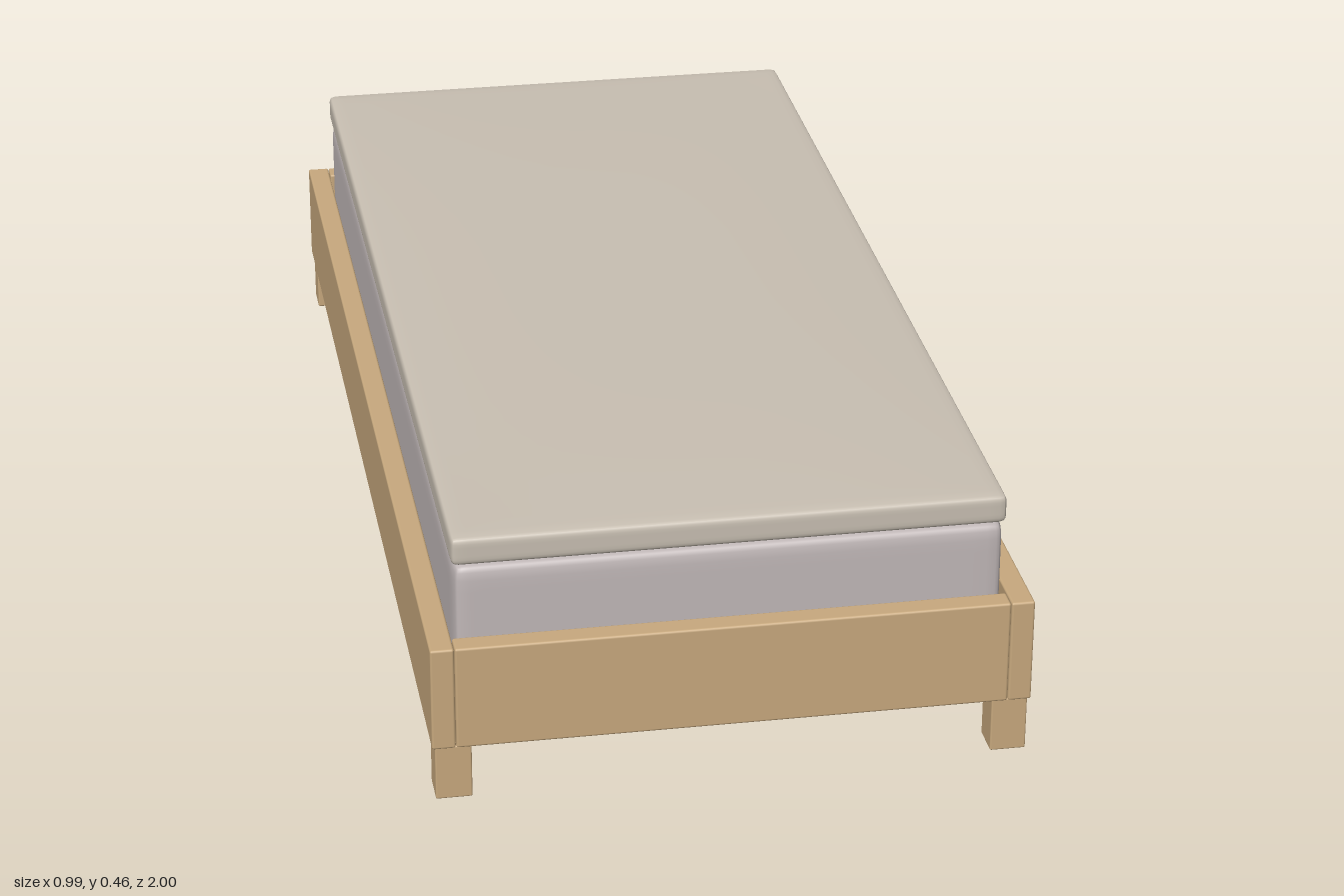
import * as THREE from 'three';
import { mergeVertices } from 'three/addons/utils/BufferGeometryUtils.js';
import { RoundedBoxGeometry } from 'three/addons/geometries/RoundedBoxGeometry.js';

const wood = new THREE.MeshStandardMaterial({ color: 0xc8a97e });
const mattressFabric = new THREE.MeshStandardMaterial({ color: 0xc1b8b8 });
const topperFabric = new THREE.MeshStandardMaterial({ color: 0xc8bfb2 });

// Box with rounded edges and an optional gentle dome on top
function cushionGeometry(w, h, d, radius, dome = 0) {
  let geo = new THREE.BoxGeometry(2, 2, 2, 24, 12, 24);
  geo.deleteAttribute('uv');
  geo.deleteAttribute('normal');
  geo = mergeVertices(geo);
  const half = new THREE.Vector3(w / 2, h / 2, d / 2);
  const inner = half.clone().subScalar(radius);
  const innerMin = inner.clone().negate();
  // Crowd the grid lines toward the edges
  const crowd = (t) => Math.sign(t) * (1 - (1 - Math.abs(t)) ** 2);
  const pos = geo.attributes.position;
  const p = new THREE.Vector3();
  const q = new THREE.Vector3();
  for (let i = 0; i < pos.count; i++) {
    p.fromBufferAttribute(pos, i);
    p.set(crowd(p.x), crowd(p.y), crowd(p.z)).multiply(half);
    q.copy(p).clamp(innerMin, inner);
    p.sub(q).setLength(radius).add(q);
    if (p.y > 0) {
      const u = Math.abs(p.x / half.x);
      const v = Math.abs(p.z / half.z);
      p.y += dome * (1 - u ** 3) * (1 - v ** 3) * (p.y / half.y);
    }
    pos.setXYZ(i, p.x, p.y, p.z);
  }
  geo.computeVertexNormals();
  return geo;
}

function add(group, name, geometry, material, x, y, z) {
  const mesh = new THREE.Mesh(geometry, material);
  mesh.name = name;
  mesh.position.set(x, y, z);
  group.add(mesh);
}

export function createModel() {
  const bed = new THREE.Group();
  bed.name = 'bed';

  // Wooden frame: long side rails, end rails between them
  const frame = new THREE.Group();
  frame.name = 'frame';
  bed.add(frame);
  const sideRail = new RoundedBoxGeometry(0.039, 0.182, 2, 2, 0.004);
  const endRail = new RoundedBoxGeometry(0.912, 0.182, 0.039, 2, 0.004);
  const leg = new RoundedBoxGeometry(0.06, 0.097, 0.06, 2, 0.003);
  for (const s of [-1, 1]) {
    const side = s > 0 ? 'left' : 'right';
    add(frame, side + 'SideRail', sideRail, wood, s * 0.4765, 0.186, 0);
    add(frame, s > 0 ? 'frontRail' : 'backRail', endRail, wood, 0, 0.186, s * 0.9805);
    for (const t of [-1, 1]) {
      add(frame, side + (t > 0 ? 'FrontLeg' : 'BackLeg'), leg, wood, s * 0.461, 0.0485, t * 0.966);
    }
  }

  // Base board inside the frame
  add(frame, 'baseBoard', new THREE.BoxGeometry(0.914, 0.02, 1.922), wood, 0, 0.175, 0);

  // Mattress and domed topper
  add(bed, 'mattress', cushionGeometry(0.902, 0.216, 1.912, 0.02), mattressFabric, 0, 0.293, 0);
  add(bed, 'mattressTopper', cushionGeometry(0.908, 0.05, 1.914, 0.011, 0.01), topperFabric, 0, 0.427, 0);

  return bed;
}
